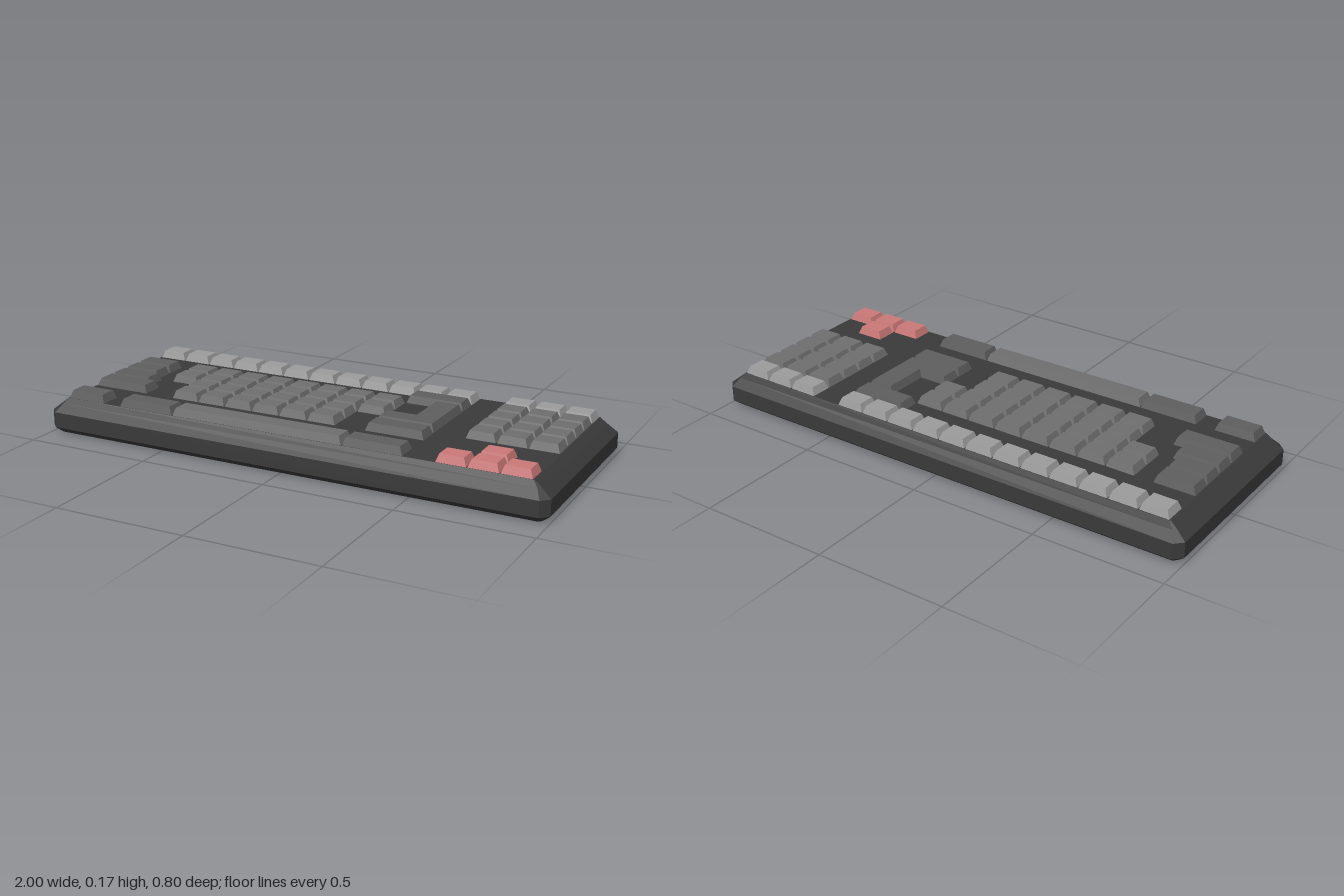
import * as THREE from 'three';

// Closed solid through stacked outlines; each ring is [[x, z], ...] turning from +x to +z
function loft(rings, ys) {
  const pos = [], n = rings[0].length;
  const put = (k, i) => pos.push(rings[k][i % n][0], ys[k], rings[k][i % n][1]);
  for (let k = 0; k < rings.length - 1; k++) {
    for (let i = 0; i < n; i++) {
      put(k, i); put(k + 1, i); put(k + 1, i + 1);
      put(k, i); put(k + 1, i + 1); put(k, i + 1);
    }
  }
  const cap = (k, up) => {
    const pts = rings[k].map(([x, z]) => new THREE.Vector2(x, z));
    for (const [a, b, c] of THREE.ShapeUtils.triangulateShape(pts, [])) {
      for (const i of up ? [a, c, b] : [a, b, c]) put(k, i);
    }
  };
  cap(0, false);
  cap(rings.length - 1, true);
  const g = new THREE.BufferGeometry();
  g.setAttribute('position', new THREE.Float32BufferAttribute(pos, 3));
  g.computeVertexNormals();
  return g;
}

// Rectangle with cut corners
const cutRect = (x, z, c) => [
  [-x + c, -z], [x - c, -z], [x, -z + c], [x, z - c],
  [x - c, z], [-x + c, z], [-x, z - c], [-x, -z + c],
];

// Shrinks a right-angled outline by different amounts in x and z
function inset(pts, dx, dz) {
  const n = pts.length;
  const normal = (a, b) => [-Math.sign(b[1] - a[1]), Math.sign(b[0] - a[0])];
  return pts.map((p, i) => {
    const m1 = normal(pts[(i + n - 1) % n], p);
    const m2 = normal(p, pts[(i + 1) % n]);
    return [p[0] + (m1[0] + m2[0]) * dx, p[1] + (m1[1] + m2[1]) * dz];
  });
}

export function createModel() {
  const model = new THREE.Group();
  const mat = (color) => new THREE.MeshStandardMaterial({ color, flatShading: true });
  const caseMat = mat(0x3a3a3a), light = mat(0x9c9c9c), mid = mat(0x6f6f6f);
  const dark = mat(0x5e5e5e), red = mat(0xcb7878);

  // Case: bevelled below and above, with cut corners
  const body = new THREE.Mesh(loft([
    cutRect(0.97, 0.37, 0.012),
    cutRect(1, 0.4, 0.03),
    cutRect(1, 0.4, 0.03),
    cutRect(0.963, 0.37, 0.012),
    cutRect(0.935, 0.357, 0.003),
  ], [0, 0.025, 0.085, 0.115, 0.137]), caseMat);
  body.name = 'case';
  model.add(body);

  // Key grid: 16 columns by 8 rows, row 0 at the back
  const U = 0.1165, V = 0.0893, X0 = -0.932, Z0 = -0.357;
  const keyOutline = (cells, name, material, parent) => {
    const pts = cells.map(([c, r]) => [X0 + c * U, Z0 + r * V]);
    const key = new THREE.Mesh(
      loft([inset(pts, 0.002, 0.002), inset(pts, 0.014, 0.011)], [0.136, 0.167]), material);
    key.name = name;
    parent.add(key);
  };
  const key = (c0, c1, r, name, material, parent) =>
    keyOutline([[c0, r], [c1, r], [c1, r + 1], [c0, r + 1]], name, material, parent);
  const group = (name) => {
    const g = new THREE.Group();
    g.name = name;
    model.add(g);
    return g;
  };
  const run = (from, to, r, name, material, parent) => {
    for (let c = from; c < to; c++) key(c, c + 1, r, name, material, parent);
  };

  // Back row
  const backRow = group('functionRow');
  run(0, 12, 0, 'functionKey', light, backRow);
  run(13, 16, 0, 'functionKey', light, backRow);

  // Main typing block
  const typing = group('typingKeys');
  for (const [from, to, r] of [[2, 10, 2], [2, 10, 3], [3, 9, 4], [3, 9, 5]]) {
    run(from, to, r, 'typingKey', mid, typing);
  }
  key(4, 10, 7, 'spaceBar', mid, typing);

  // Wide keys around the typing block
  const wide = group('wideKeys');
  for (const [c0, c1, r] of [
    [0, 1.4, 2], [0, 1.4, 3], [0, 1.6, 4], [0, 2, 5], [0, 1.4, 7],
    [2, 4, 7], [10, 12, 7], [10, 12, 5], [10, 12, 1],
  ]) key(c0, c1, r, 'wideKey', dark, wide);
  keyOutline([[11, 2], [12, 2], [12, 5], [10, 5], [10, 4], [11, 4]], 'enterKey', dark, wide);

  // Side block and arrow keys
  const side = group('sideKeys');
  for (let r = 1; r < 5; r++) run(13, 16, r, 'sideKey', mid, side);
  const arrows = group('arrowKeys');
  key(14, 15, 6, 'arrowKey', red, arrows);
  run(13, 16, 7, 'arrowKey', red, arrows);

  return model;
}
